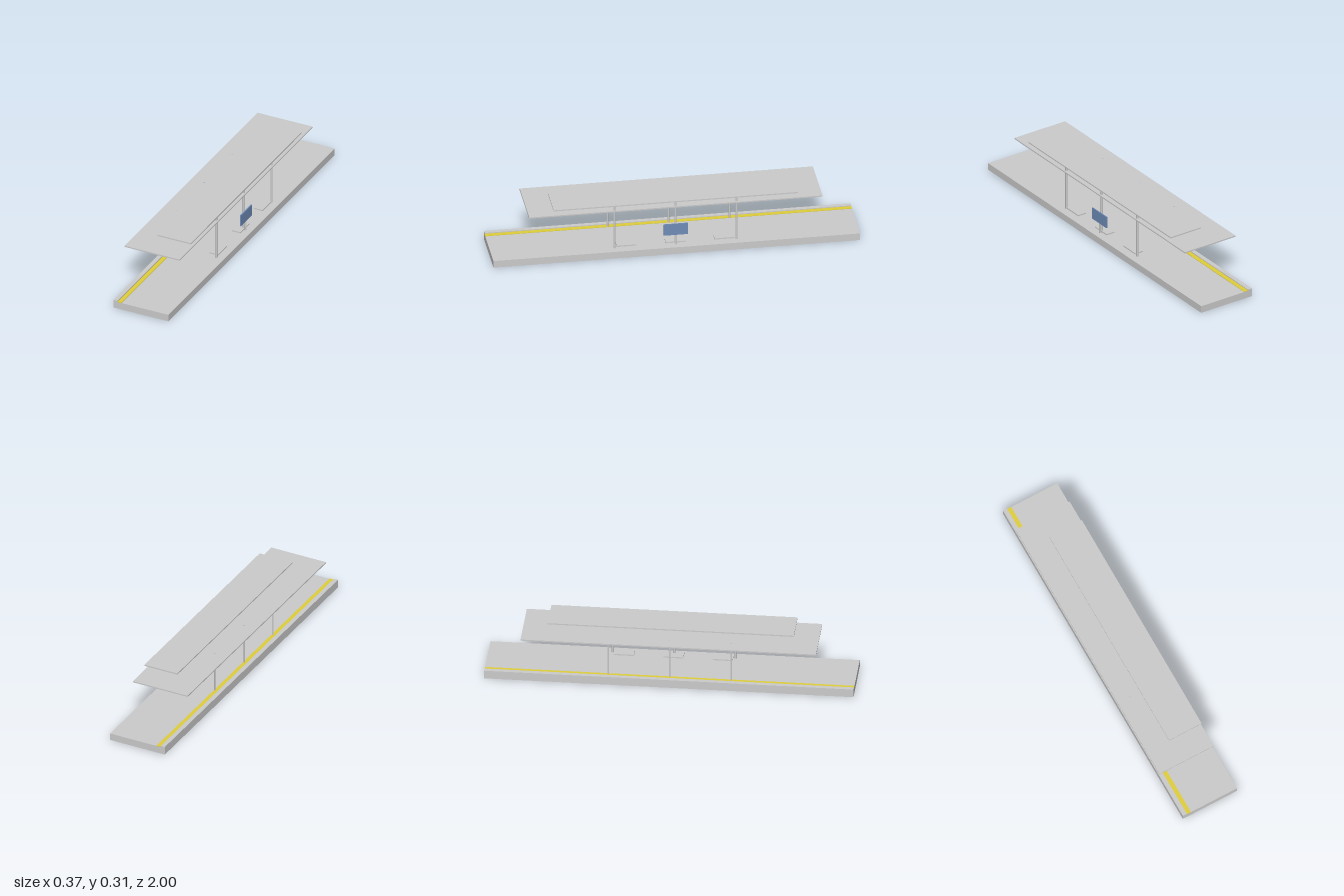
import * as THREE from 'three';

const grey = new THREE.MeshStandardMaterial({ color: 0xcccccc });
const yellow = new THREE.MeshStandardMaterial({ color: 0xe0cf3c });
const blue = new THREE.MeshStandardMaterial({ color: 0x6f8db8 });

export function createModel() {
  const model = new THREE.Group();

  const add = (name, geometry, material, x, y, z) => {
    const mesh = new THREE.Mesh(geometry, material);
    mesh.name = name;
    mesh.position.set(x, y, z);
    model.add(mesh);
  };
  // Box given by its x and y extents, its length along z and its z centre
  const box = (name, x0, x1, y0, y1, length, z = 0, material = grey) =>
    add(name, new THREE.BoxGeometry(x1 - x0, y1 - y0, length), material, (x0 + x1) / 2, (y0 + y1) / 2, z);
  // Upright round post
  const post = (name, x, z, radius, y0, y1) =>
    add(name, new THREE.CylinderGeometry(radius, radius, y1 - y0, 12), grey, x, (y0 + y1) / 2, z);

  // Platform with raised kerb and yellow safety line
  box('platform', -0.15, 0.183, 0, 0.04, 2);
  box('kerb', -0.15, -0.125, 0.04, 0.047, 2);
  box('safetyLine', -0.125, -0.1, 0.04, 0.0425, 2, 0, yellow);

  // Two overlapping flat roofs
  box('lowerRoof', -0.183, 0.15, 0.265, 0.272, 1.6);
  box('upperRoof', -0.05, 0.15, 0.298, 0.305, 1.333);

  // Columns: the track-side row pokes just through the lower roof
  for (const z of [-0.333, 0, 0.333]) {
    post('trackColumn', -0.105, z, 0.005, 0.04, 0.274);
    post('rearColumn', 0.136, z, 0.006, 0.04, 0.3);
  }

  // Benches on a low foot
  for (const z of [-0.267, 0, 0.267]) {
    box('benchSeat', 0.09, 0.142, 0.047, 0.054, 0.107, z);
    box('benchFoot', 0.11, 0.122, 0.04, 0.047, 0.08, z);
  }

  // Information board on its post
  post('boardPost', 0.15, 0, 0.0027, 0.04, 0.11);
  box('infoBoard', 0.147, 0.153, 0.1, 0.167, 0.133, 0, blue);

  return model;
}
